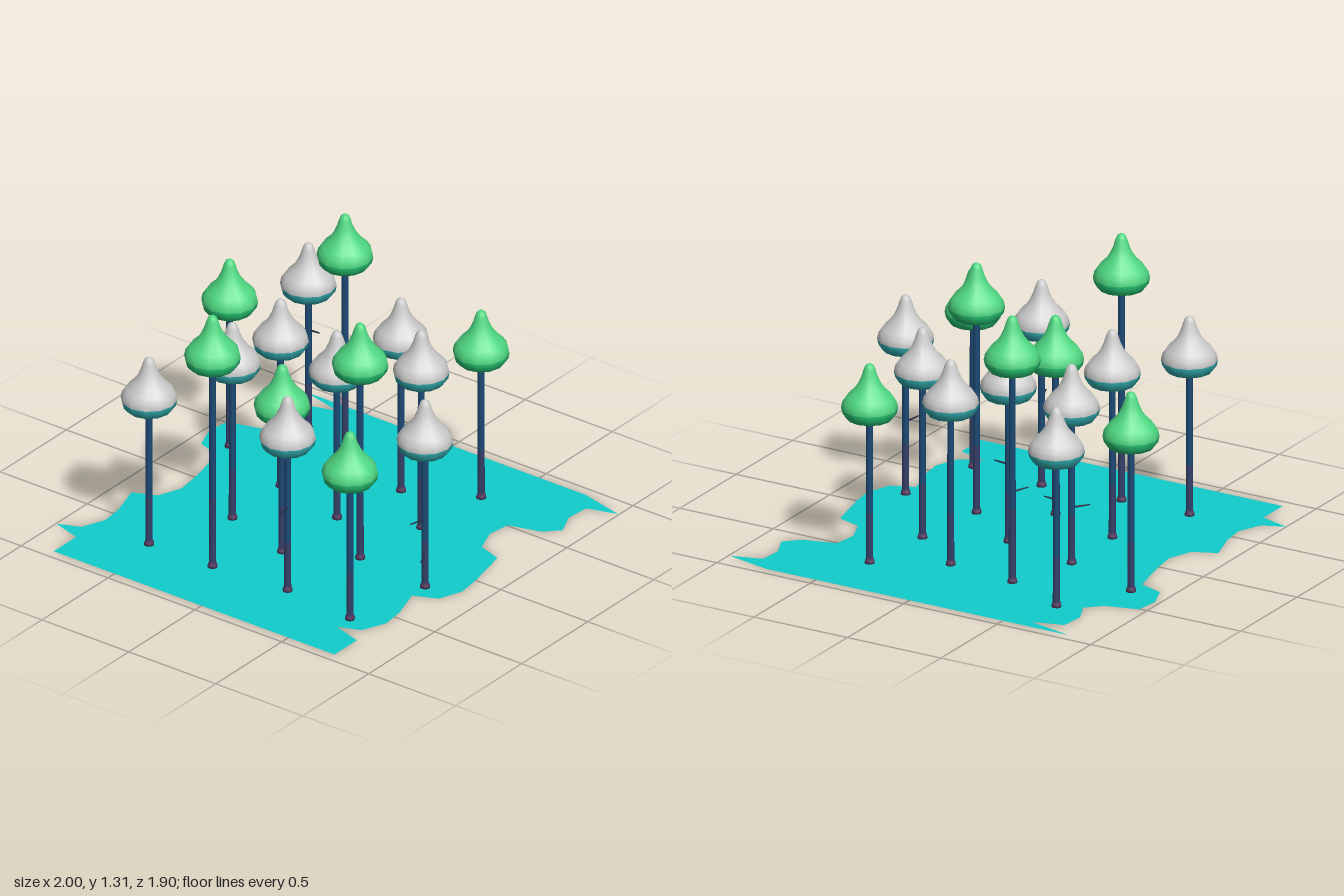
import * as THREE from 'three';

const GREY = 0xcccccc, GREEN = 0x4fd983, TEAL = 0x10cccc;

// Ragged border of the ground; the right border is the same line shifted over.
const EDGE = [
  [-0.85, -0.95], [-0.62, -0.895], [-0.77, -0.85], [-0.78, -0.73], [-0.73, -0.62],
  [-0.8, -0.55], [-0.96, -0.505], [-0.975, -0.39], [-0.93, -0.27], [-0.81, -0.23],
  [-0.785, -0.12], [-0.76, 0], [-0.745, 0.12], [-0.79, 0.24], [-0.905, 0.29],
  [-0.855, 0.45], [-0.84, 0.57], [-0.89, 0.69], [-1, 0.735], [-0.85, 0.78], [-0.85, 0.95],
];
const SHIFT = 1.615;

// Cap profile from the underside up to the tip.
const CAP_HEIGHT = 0.278;
const CAP = [
  [0, 0.004], [0.03, 0], [0.07, 0], [0.105, 0.01], [0.125, 0.034], [0.131, 0.062],
  [0.125, 0.092], [0.108, 0.117], [0.078, 0.147], [0.054, 0.18], [0.038, 0.215],
  [0.028, 0.248], [0.02, 0.268], [0.01, 0.276], [0, CAP_HEIGHT],
];

// Trees: x, z, height, green?
const TREES = [
  [-0.617, -0.67, 0.98, 0], [-0.286, -0.512, 1.31, 1], [0.07, -0.468, 1.01, 0],
  [0.4, -0.64, 0.98, 1], [-0.81, -0.328, 0.98, 1], [-0.397, -0.17, 0.98, 0],
  [-0.008, -0.086, 0.98, 0], [0.355, -0.246, 1.035, 0], [-0.388, 0.206, 1.025, 0],
  [-0.014, 0.322, 0.98, 1], [0.306, 0.152, 1.23, 1], [0.708, 0.19, 0.98, 0],
  [-0.543, 0.633, 0.98, 0], [-0.184, 0.625, 1.315, 1], [0.227, 0.597, 1.015, 0],
  [0.617, 0.638, 0.98, 1],
];

// Twigs: tree index, height on the stem, reach in x and z.
const TWIGS = [
  [0, 0.525, 0.065, 0], [5, 0.277, -0.06, 0.065], [11, 0.355, -0.018, 0.085],
  [11, 0.173, 0.038, 0.08], [1, 0.445, -0.038, 0.078], [14, 0.44, 0.022, 0.08],
  [6, 0.383, 0.075, 0],
];

// One smooth lathe cut into colour bands: each band is [name, color, firstRow, endRow].
function bandedLathe(profile, sides, bands) {
  const full = new THREE.LatheGeometry(profile.map(([r, y]) => new THREE.Vector2(r, y)), sides);
  const rows = profile.length;
  const group = new THREE.Group();
  for (const [name, color, from, to] of bands) {
    const index = [];
    for (let s = 0; s < sides; s++) {
      for (let r = from; r < to; r++) {
        const a = s * rows + r, b = a + rows;
        index.push(a, b, a + 1, b + 1, a + 1, b);
      }
    }
    const geometry = full.clone().setIndex(index);
    const mesh = new THREE.Mesh(geometry, new THREE.MeshStandardMaterial({ color }));
    mesh.name = name;
    group.add(mesh);
  }
  return group;
}

function makeTree(height, green) {
  const tree = new THREE.Group();
  const capBase = height - CAP_HEIGHT;

  // slim stem with a small flared foot
  const stem = bandedLathe(
    [[0, 0], [0.024, 0], [0.022, 0.014], [0.017, 0.026], [0.0165, capBase * 0.35], [0.016, capBase + 0.02]],
    8,
    [['stemFoot', 0x5a3f66, 0, 3], ['lowerStem', 0x35406a, 3, 4], ['upperStem', 0x1c4a76, 4, 5]],
  );
  stem.name = 'stem';

  // onion-shaped cap with a tinted underside
  const cap = bandedLathe(CAP, 12, [
    ['capUnderside', green ? 0x25c070 : 0x2fa5a8, 0, 5],
    ['capCrown', green ? GREEN : GREY, 5, CAP.length - 1],
  ]);
  cap.name = 'cap';
  cap.position.y = capBase;

  tree.add(stem, cap);
  return tree;
}

// Thin tapering twig reaching out from a stem
function makeTwig(y, dx, dz) {
  const reach = new THREE.Vector3(dx, 0.004, dz);
  const length = reach.length();
  const geometry = new THREE.CylinderGeometry(0.003, 0.006, length, 5);
  geometry.translate(0, length / 2, 0);
  const twig = new THREE.Mesh(geometry, new THREE.MeshStandardMaterial({ color: 0x2a2f4a }));
  twig.quaternion.setFromUnitVectors(new THREE.Vector3(0, 1, 0), reach.normalize());
  twig.position.y = y;
  twig.name = 'twig';
  return twig;
}

function makeGround() {
  const left = EDGE.map(([x, z]) => new THREE.Vector2(x, -z));
  const right = EDGE.map(([x, z]) => new THREE.Vector2(x + SHIFT, -z)).reverse();
  const geometry = new THREE.ShapeGeometry(new THREE.Shape([...left, ...right]));
  geometry.rotateX(-Math.PI / 2);
  const ground = new THREE.Mesh(
    geometry,
    new THREE.MeshStandardMaterial({ color: TEAL, side: THREE.DoubleSide }),
  );
  ground.name = 'ground';
  return ground;
}

export function createModel() {
  const model = new THREE.Group();
  model.name = 'grove';
  model.add(makeGround());

  const trees = TREES.map(([x, z, height, green]) => {
    const tree = makeTree(height, green);
    tree.name = green ? 'greenTree' : 'paleTree';
    tree.position.set(x, 0, z);
    model.add(tree);
    return tree;
  });

  for (const [i, y, dx, dz] of TWIGS) trees[i].add(makeTwig(y, dx, dz));
  return model;
}
